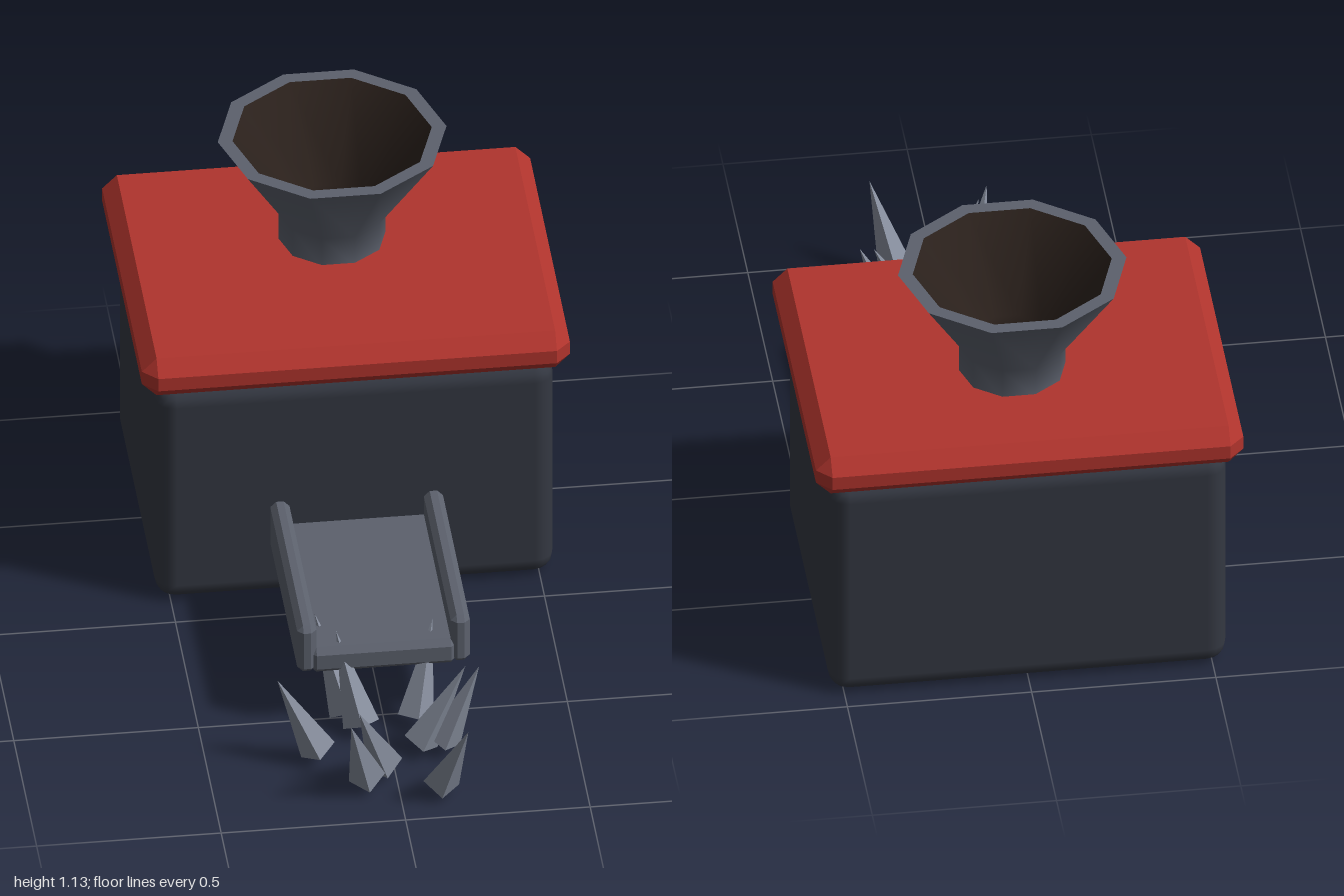
import * as THREE from 'three';
import { RoundedBoxGeometry } from 'three/addons/geometries/RoundedBoxGeometry.js';
import { ConvexGeometry } from 'three/addons/geometries/ConvexGeometry.js';

const paint = (color) => new THREE.MeshStandardMaterial({ color });

// Box with every edge cut at 45 degrees
function chamferBox(w, h, d, c) {
  const points = [];
  for (const x of [-1, 1]) for (const y of [-1, 1]) for (const z of [-1, 1]) {
    for (let axis = 0; axis < 3; axis++) {
      const inset = [c, c, c];
      inset[axis] = 0;
      points.push(new THREE.Vector3(x * (w / 2 - inset[0]), y * (h / 2 - inset[1]), z * (d / 2 - inset[2])));
    }
  }
  return new ConvexGeometry(points);
}

export function createModel() {
  const model = new THREE.Group();
  model.name = 'grinderMachine';
  const bodyPaint = paint(0x343842);
  const red = paint(0xb0342d);
  const metal = paint(0x5c616d);
  const soot = paint(0x2b211c);
  const spikePaint = paint(0x858c9b);
  spikePaint.flatShading = true;

  function add(name, geometry, material, x = 0, y = 0, z = 0, parent = model) {
    const mesh = new THREE.Mesh(geometry, material);
    mesh.name = name;
    mesh.position.set(x, y, z);
    parent.add(mesh);
    return mesh;
  }

  // Main housing and overhanging lid
  add('body', new RoundedBoxGeometry(1.08, 0.69, 0.86, 2, 0.055), bodyPaint, 0, 0.35, -0.52);
  add('lid', chamferBox(1.16, 0.12, 0.95, 0.04), red, 0, 0.75, -0.525);

  // Ten-sided funnel: outside, rim and dark inside
  const funnel = new THREE.Group();
  funnel.name = 'funnel';
  funnel.position.z = -0.61;
  model.add(funnel);
  const lathe = (profile) =>
    new THREE.LatheGeometry(profile.map(([r, y]) => new THREE.Vector2(r, y)), 10).rotateY(Math.PI / 2);
  add('funnelShell', lathe([[0.145, 0.8], [0.145, 0.895], [0.31, 1.14]]), metal, 0, 0, 0, funnel);
  add('funnelRim', new THREE.RingGeometry(0.27, 0.31, 10).rotateX(-Math.PI / 2), metal, 0, 1.14, 0, funnel);
  add('funnelInside', lathe([[0.27, 1.14], [0.11, 0.9], [0.11, 0.82]]), soot, 0, 0, 0, funnel);
  add('funnelFloor', new THREE.CircleGeometry(0.11, 10).rotateX(-Math.PI / 2), soot, 0, 0.82, 0, funnel);

  // Output tray with two side rails
  const tray = new THREE.Group();
  tray.name = 'tray';
  model.add(tray);
  add('trayDeck', chamferBox(0.4, 0.08, 0.62, 0.018), metal, 0, 0.21, 0.22, tray);
  for (const side of [-1, 1]) {
    add('trayRail', chamferBox(0.052, 0.148, 0.62, 0.016), metal, side * 0.208, 0.25, 0.22, tray);
  }

  // Shards leaning outward: base x, base z, tip x, tip z
  const shards = new THREE.Group();
  shards.name = 'shards';
  model.add(shards);
  const up = new THREE.Vector3(0, 1, 0);
  [
    [-0.2, 0.695, -0.31, 0.695],
    [0.14, 0.69, 0.237, 0.695],
    [0.08, 0.69, 0.2, 0.69],
    [0.08, 0.575, 0.14, 0.455],
    [-0.07, 0.59, -0.125, 0.48],
    [-0.1, 0.53, -0.172, 0.395],
    [-0.085, 0.84, -0.14, 0.94],
    [-0.03, 0.78, -0.11, 0.88],
    [0.11, 0.89, 0.17, 1.0],
  ].forEach(([bx, bz, tx, tz]) => {
    const base = new THREE.Vector3(bx, 0.042, bz);
    const axis = new THREE.Vector3(tx, 0.278, tz).sub(base);
    const length = axis.length();
    const cone = new THREE.ConeGeometry(0.05, length, 4).translate(0, length / 2, 0);
    const shard = add('shard', cone, spikePaint, bx, 0.042, bz, shards);
    shard.quaternion.setFromUnitVectors(up, axis.normalize());
  });

  return model;
}
